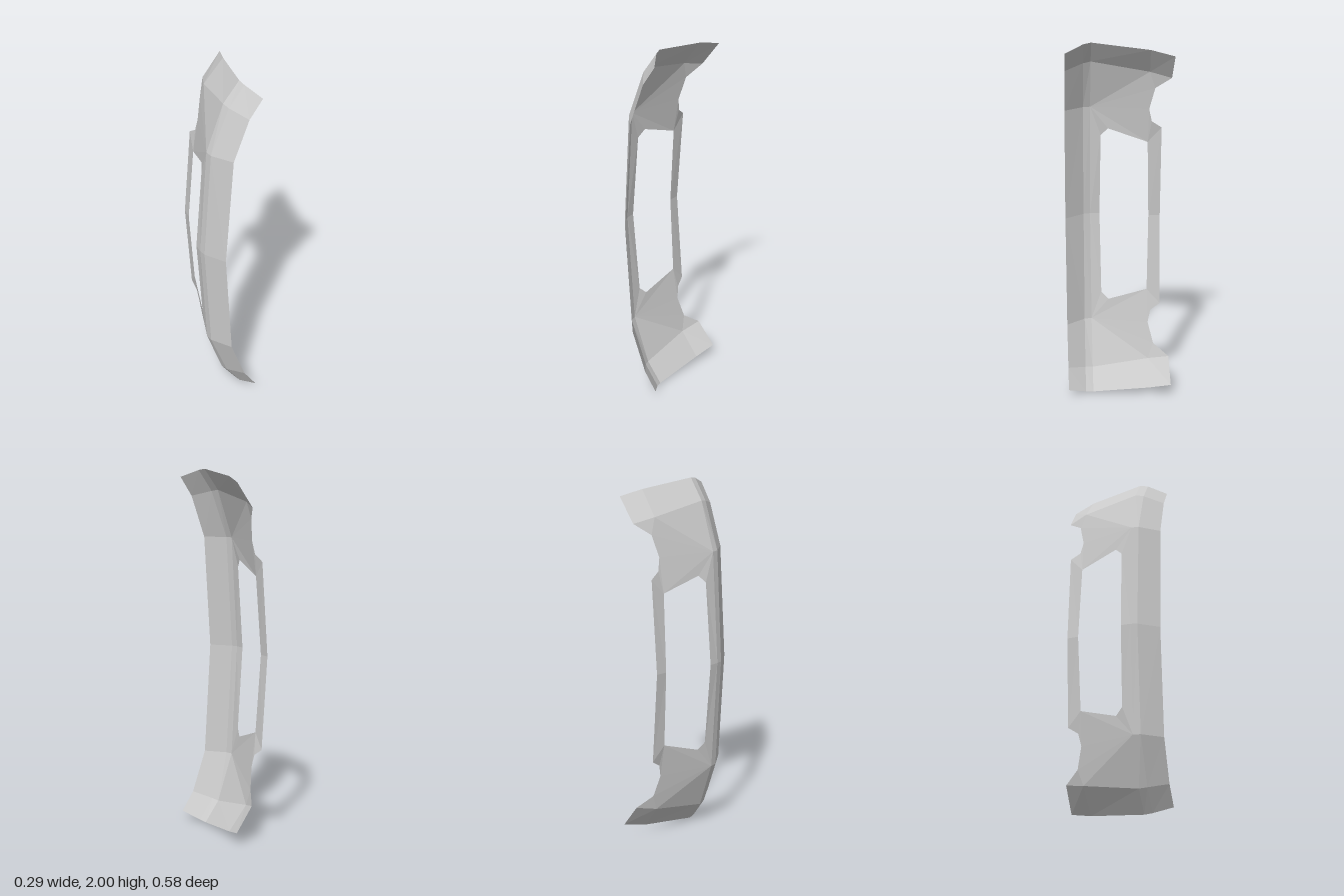
import * as THREE from 'three';

// Corners [x, y, z] of the upper half; the lower half mirrors it about y = 1
const P = {
  // front lip, two fold lines, from the middle (0) to the end (3)
  F0: [-0.053, 1, 0.29], F1: [-0.013, 1.62, 0.288], F2: [0.07, 1.85, 0.286], F3: [0.141, 1.955, 0.285],
  A0: [-0.135, 1, 0.187], A1: [-0.097, 1.62, 0.187], A2: [0, 1.878, 0.187], A3: [0.083, 1.993, 0.187],
  B0: [-0.145, 1, 0.15], B1: [-0.106, 1.62, 0.147], B2: [-0.014, 1.885, 0.145], B3: [0.072, 2, 0.145],
  // window edge
  C0: [-0.147, 1, 0.097], C1: [-0.112, 1.46, 0.09], C2: [-0.096, 1.5, 0.05],
  H: [-0.06, 1.43, -0.165], G0: [-0.088, 1, -0.174],
  // notched rear edge
  S0: [-0.087, 1, -0.238], S1: [-0.05, 1.513, -0.24], N0: [-0.04, 1.55, -0.185],
  N1: [-0.031, 1.62, -0.17], N2: [-0.005, 1.74, -0.2],
  // flared end tab
  E2: [0.005, 1.83, -0.17], E3: [0.111, 1.965, -0.165],
  T2: [0.043, 1.803, -0.284], T3: [0.144, 1.936, -0.291],
};

// Convex panels, counter-clockwise from outside
const PARTS = {
  frontLip: ['F0 A0 A1 F1', 'F1 A1 A2 F2', 'F2 A2 A3 F3'],
  cornerFold: ['A0 B0 B1 A1', 'A1 B1 B2 A2', 'A2 B2 B3 A3'],
  sidePanel: ['B0 C0 C1 B1', 'B1 C1 C2', 'B1 C2 H N1', 'H S1 N0 N1', 'B1 N1 N2 E2 B2'],
  rearWindowBar: ['G0 S0 S1 H'],
  endFlange: ['B2 E2 E3 B3', 'N2 T2 E2', 'E2 T2 T3 E3'],
};

function panelGeometry(panels) {
  const pos = [];
  for (const mirrored of [false, true]) {
    for (const panel of panels) {
      const pts = panel.split(' ').map((k) => {
        const [x, y, z] = P[k];
        return [x, mirrored ? 2 - y : y, z];
      });
      if (mirrored) pts.reverse();
      // keep the same fan centre on both halves
      if (mirrored) pts.unshift(pts.pop());
      for (let i = 1; i < pts.length - 1; i++) pos.push(...pts[0], ...pts[i], ...pts[i + 1]);
    }
  }
  const geo = new THREE.BufferGeometry();
  geo.setAttribute('position', new THREE.Float32BufferAttribute(pos, 3));
  geo.computeVertexNormals();
  return geo;
}

export function createModel() {
  const group = new THREE.Group();
  group.name = 'curvedWindowPanel';
  const material = new THREE.MeshStandardMaterial({
    color: 0xcccccc, flatShading: true, side: THREE.DoubleSide,
  });
  for (const [name, panels] of Object.entries(PARTS)) {
    const mesh = new THREE.Mesh(panelGeometry(panels), material);
    mesh.name = name;
    group.add(mesh);
  }
  return group;
}
